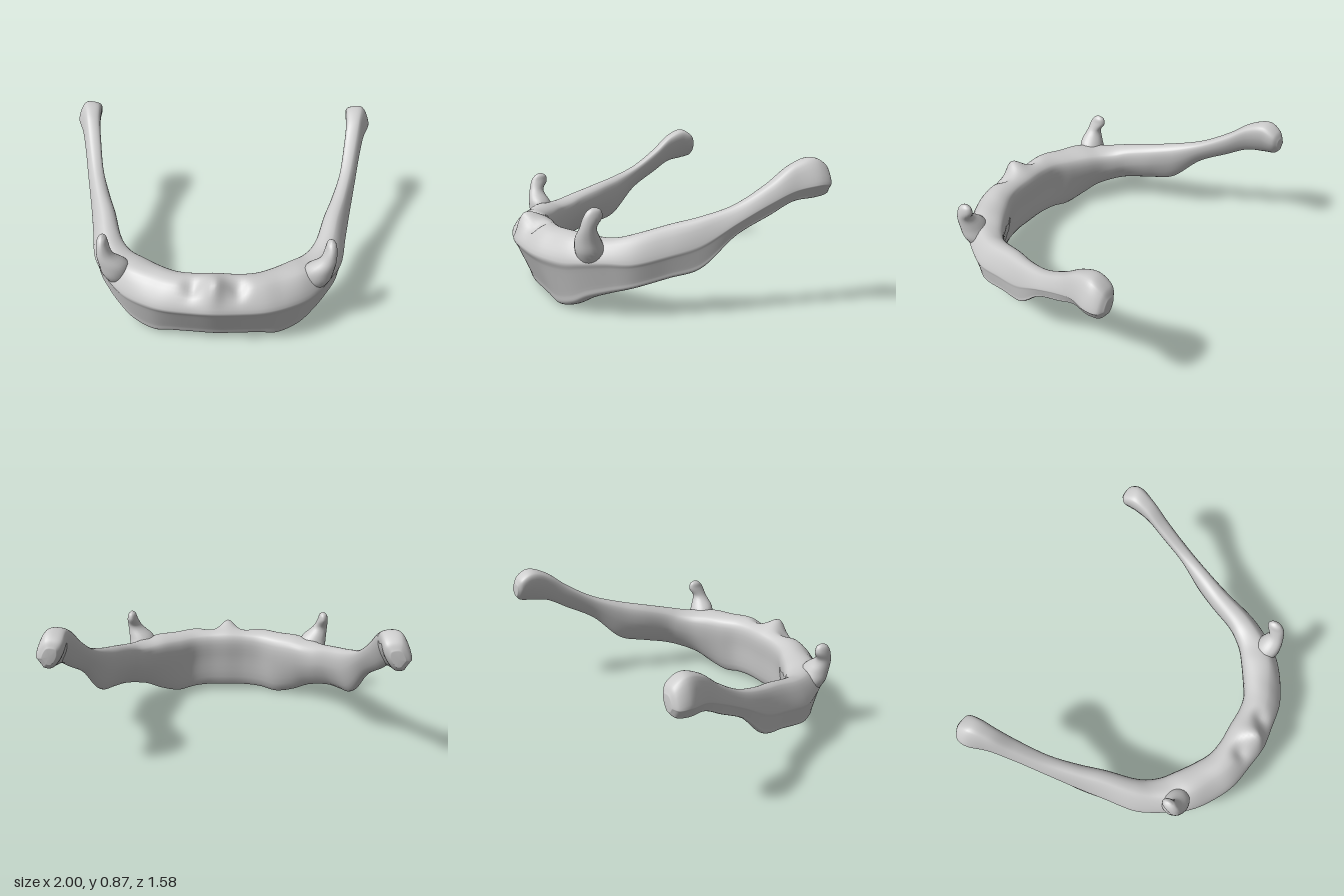
import * as THREE from 'three';

const material = new THREE.MeshStandardMaterial({ color: 0xcccccc, roughness: 0.8 });
const vec = (x, y, z) => new THREE.Vector3(x, y, z);

// Smooth skin through closed rings of equal point count, with capped ends.
function loft(rings, ringSteps, alongSteps, rule) {
  const loops = rings.map((r) => {
    const curve = new THREE.CatmullRomCurve3(r, true, 'centripetal');
    return Array.from({ length: ringSteps }, (_, j) => curve.getPoint(j / ringSteps));
  });
  const rows = (rings.length - 1) * alongSteps;
  const columns = loops[0].map((_, j) => new THREE.CatmullRomCurve3(loops.map((l) => l[j]), false, 'centripetal'));
  const pos = [], index = [];
  for (let i = 0; i <= rows; i++) {
    for (let j = 0; j < ringSteps; j++) {
      const p = columns[j].getPoint(i / rows);
      if (rule) rule(p);
      pos.push(p.x, p.y, p.z);
      if (i === rows) continue;
      const a = i * ringSteps + j, b = i * ringSteps + (j + 1) % ringSteps;
      index.push(a, b, a + ringSteps, b, b + ringSteps, a + ringSteps);
    }
  }
  // end caps
  for (const row of [0, rows]) {
    const c = vec(0, 0, 0), first = row * ringSteps, centre = pos.length / 3;
    for (let j = 0; j < ringSteps; j++) c.add(vec(...pos.slice((first + j) * 3, (first + j) * 3 + 3)));
    c.divideScalar(ringSteps);
    pos.push(c.x, c.y, c.z);
    for (let j = 0; j < ringSteps; j++) {
      const a = first + j, b = first + (j + 1) % ringSteps;
      if (row === 0) index.push(centre, b, a);
      else index.push(centre, a, b);
    }
  }
  const g = new THREE.BufferGeometry();
  g.setAttribute('position', new THREE.Float32BufferAttribute(pos, 3));
  g.setIndex(index);
  g.computeVertexNormals();
  return g;
}

// Half of the jaw, chin to hinge knob:
// outer x, outer z, inner x, inner z, top y, outer ridge y, bottom y, bottom inset, top inset
const stations = [
  [0, 0.785, 0, 0.54, 0.445, 0.315, 0.03, 0.52, 0.36],
  [0.14, 0.768, 0.13, 0.54, 0.44, 0.305, 0.03, 0.52, 0.36],
  [0.3, 0.742, 0.23, 0.52, 0.435, 0.3, 0.02, 0.5, 0.36],
  [0.4, 0.7, 0.33, 0.465, 0.43, 0.295, 0, 0.4, 0.36],
  [0.53, 0.62, 0.43, 0.4, 0.43, 0.29, 0.035, 0.3, 0.3],
  [0.61, 0.545, 0.515, 0.335, 0.42, 0.3, 0.09, 0.25, 0.3],
  [0.69, 0.43, 0.57, 0.27, 0.425, 0.31, 0.13, 0.2, 0.35],
  [0.76, 0.295, 0.61, 0.2, 0.45, 0.31, 0.165, 0.15, 0.4],
  [0.8, 0.1, 0.665, 0.03, 0.5, 0.35, 0.215, 0.15, 0.4],
  [0.835, -0.07, 0.72, -0.11, 0.54, 0.4, 0.26, 0.15, 0.35],
  [0.88, -0.27, 0.78, -0.28, 0.605, 0.52, 0.445, 0.2, 0.35],
  [0.92, -0.45, 0.815, -0.45, 0.715, 0.625, 0.55, 0.2, 0.3],
  [0.955, -0.58, 0.835, -0.58, 0.82, 0.69, 0.625, 0.22, 0.3],
  [1, -0.7, 0.84, -0.68, 0.858, 0.72, 0.645, 0.25, 0.35],
  [0.99, -0.765, 0.85, -0.76, 0.82, 0.72, 0.662, 0.25, 0.35],
  [0.955, -0.79, 0.88, -0.788, 0.775, 0.725, 0.69, 0.3, 0.35],
];

function jawRing([ox, oz, ix, iz, top, ridge, bottom, low, high], side) {
  const h = top - bottom;
  const at = (t, y) => vec(side * (ox + (ix - ox) * t), y, oz + (iz - oz) * t);
  const edge = bottom + 0.02 * h;
  const panel = (f) => at(low * f, ridge + (edge - ridge) * f); // straight outer panel
  return [
    at(0, ridge),
    panel(0.2),
    panel(0.8),
    at(low, edge),
    at(low + 0.3, bottom),
    at(0.98, bottom + 0.5 * h),
    at(1, top - 0.1 * h),
    at(high + 0.35, top),
    at(high, top - 0.04 * h),
  ];
}

// Raised ridge at the chin centre with a dimple on either side.
function chinRelief(p) {
  if (p.y < 0.25 || p.z < 0.5) return;
  const fade = THREE.MathUtils.smoothstep(p.y, 0.3, 0.4);
  const bump = Math.exp(-((p.x / 0.05) ** 2)) * Math.exp(-(((p.z - 0.69) / 0.07) ** 2));
  const dip = Math.exp(-(((Math.abs(p.x) - 0.13) / 0.05) ** 2)) * Math.exp(-(((p.z - 0.68) / 0.05) ** 2));
  p.y += fade * (0.045 * bump - 0.04 * dip);
  p.z += fade * 0.03 * bump;
}

// Tusk sections, root buried in the bone: x, y, z, half width, half depth
const tuskSections = [
  [0.565, 0.24, 0.45, 0.05, 0.05],
  [0.59, 0.35, 0.475, 0.088, 0.085],
  [0.603, 0.425, 0.495, 0.085, 0.072],
  [0.647, 0.5, 0.505, 0.048, 0.047],
  [0.66, 0.56, 0.482, 0.034, 0.054],
  [0.66, 0.595, 0.474, 0.024, 0.038],
  [0.66, 0.611, 0.474, 0.006, 0.012],
];

function tuskRing([x, y, z, rx, rz], side) {
  return Array.from({ length: 8 }, (_, j) => {
    const a = (j / 8) * Math.PI * 2;
    return vec(side * x + Math.cos(a) * rx, y, z - Math.sin(a) * rz);
  });
}

export function createModel() {
  const model = new THREE.Group();
  model.name = 'lowerJaw';
  const add = (name, geometry) => {
    const mesh = new THREE.Mesh(geometry, material);
    mesh.name = name;
    model.add(mesh);
  };

  // Jawbone: right arm, chin and left arm in one skin
  const rings = [
    ...stations.slice(1).reverse().map((s) => jawRing(s, -1)),
    ...stations.map((s) => jawRing(s, 1)),
  ];
  add('jawbone', loft(rings, 45, 8, chinRelief));

  // Pair of tusks
  for (const [name, side] of [['leftTusk', 1], ['rightTusk', -1]]) {
    add(name, loft(tuskSections.map((s) => tuskRing(s, side)), 24, 5));
  }
  return model;
}
